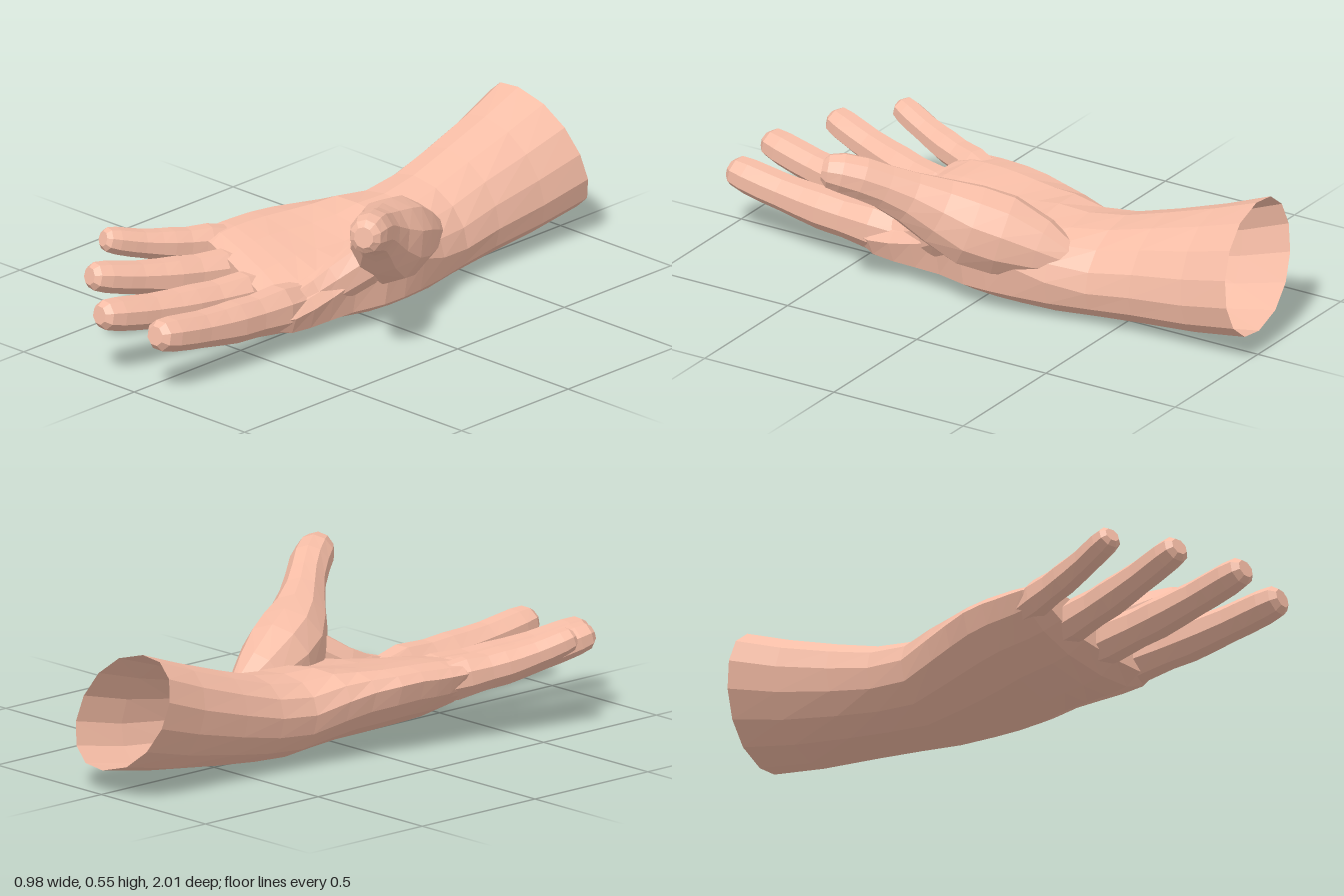
import * as THREE from 'three';

const skin = new THREE.MeshStandardMaterial({ color: 0xf6bda6, flatShading: true, side: THREE.DoubleSide });

// Skins a list of equal-length rings; the far end closes to its centre.
function loft(name, rings, capStart = false) {
  const n = rings[0].length, pos = [], idx = [];
  rings.forEach(r => r.forEach(p => pos.push(p.x, p.y, p.z)));
  for (let i = 0; i < rings.length - 1; i++) {
    for (let j = 0; j < n; j++) {
      const a = i * n + j, b = i * n + (j + 1) % n;
      idx.push(a, b, a + n, b, b + n, a + n);
    }
  }
  const cap = (row, flip) => {
    const c = new THREE.Vector3();
    rings[row].forEach(p => c.addScaledVector(p, 1 / n));
    const k = pos.length / 3;
    pos.push(c.x, c.y, c.z);
    for (let j = 0; j < n; j++) {
      const a = row * n + j, b = row * n + (j + 1) % n;
      idx.push(...(flip ? [b, a, k] : [a, b, k]));
    }
  };
  cap(rings.length - 1, false);
  if (capStart) cap(0, true);
  const g = new THREE.BufferGeometry();
  g.setAttribute('position', new THREE.Float32BufferAttribute(pos, 3));
  g.setIndex(idx);
  g.computeVertexNormals();
  const mesh = new THREE.Mesh(g, skin);
  mesh.name = name;
  return mesh;
}

// Forearm and palm ring: tilt raises the little-finger side, lift raises the ball of the thumb.
function handRing([z, cx, rx, cy, tilt, top, bottom, lift = 0, skewX = 0, skewY = 0]) {
  const ring = [];
  for (let j = 0; j < 14; j++) {
    const a = j / 14 * Math.PI * 2, c = Math.cos(a), s = Math.sin(a);
    const x = cx + rx * Math.sign(c) * Math.abs(c) ** 0.9;
    const raise = lift * Math.max(c, 0) ** 1.5 * (s < -0.01 ? 0.35 : 1);
    const y = cy - tilt * c + (s > 0 ? top : bottom) * s + raise;
    ring.push(new THREE.Vector3(x, y, z + skewX * (x - cx) + skewY * (y - cy)));
  }
  return ring;
}

// Digit from rows of [x, y, z, half width, half height], rings square to the path.
function digit(name, rows, sides = 8) {
  const pts = rows.map(r => new THREE.Vector3(r[0], r[1], r[2]));
  const up = new THREE.Vector3(0, 1, 0);
  const rings = rows.map((r, i) => {
    const t = pts[Math.min(i + 1, pts.length - 1)].clone().sub(pts[Math.max(i - 1, 0)]).normalize();
    const side = up.clone().cross(t).normalize(), rise = t.clone().cross(side);
    return Array.from({ length: sides }, (_, j) => {
      const a = (j + 0.5) / sides * Math.PI * 2;
      return pts[i].clone().addScaledVector(side, r[3] * Math.cos(a)).addScaledVector(rise, r[4] * Math.sin(a));
    });
  });
  return loft(name, rings, true);
}

// Straight finger with swollen joints: knuckle point, web point, tip point, half width.
function finger(name, base, web, tip, w) {
  const profile = [ // position from web to tip, width, height
    [0, 1.12, 1.3], [0.2, 1.04, 1.13], [0.36, 1.09, 1.14], [0.48, 1.05, 1.06], [0.64, 1.0, 0.97],
    [0.74, 1.02, 0.96], [0.88, 1.0, 0.92], [0.965, 0.88, 0.82], [1, 0.56, 0.52]];
  const rows = profile.map(([t, a, b]) => {
    const p = web.map((v, i) => v + (tip[i] - v) * t);
    p[1] -= 0.012 * Math.sin(t * Math.PI);
    return [...p, w * a, w * b];
  });
  return digit(name, [[...base, w * 0.9, w * 0.9], ...rows]);
}

export function createModel() {
  const hand = new THREE.Group();
  hand.name = 'openHand';

  // Forearm, wrist and palm with the ball of the thumb, open at the cut end
  const sections = [
    [-0.96, -0.06, 0.21, 0.28, 0.07, 0.185, 0.19, 0, 0, 0.2],
    [-0.78, -0.06, 0.195, 0.23, 0.06, 0.18, 0.178, 0, 0, 0.1],
    [-0.58, -0.06, 0.19, 0.19, 0.045, 0.165, 0.165],
    [-0.42, -0.055, 0.195, 0.16, 0.035, 0.15, 0.15],
    [-0.28, -0.045, 0.215, 0.148, 0.035, 0.14, 0.148, 0.03],
    [-0.16, -0.045, 0.245, 0.158, 0.055, 0.125, 0.148, 0.08],
    [-0.07, -0.05, 0.265, 0.162, 0.07, 0.1, 0.145, 0.12],
    [0.02, -0.065, 0.28, 0.165, 0.078, 0.085, 0.142, 0.13],
    [0.12, -0.09, 0.27, 0.168, 0.08, 0.08, 0.135, 0.1, 0.06],
    [0.2, -0.1, 0.27, 0.17, 0.075, 0.08, 0.13, 0.06, 0.14],
    [0.27, -0.105, 0.272, 0.173, 0.072, 0.075, 0.127, 0.035, 0.2],
    [0.34, -0.11, 0.272, 0.175, 0.07, 0.065, 0.115, 0.02, 0.25],
    [0.4, -0.11, 0.25, 0.175, 0.068, 0.045, 0.075, 0.02, 0.28],
  ];
  hand.add(loft('forearmAndPalm', sections.map(handRing)));

  // Fingers
  hand.add(finger('indexFinger', [0.07, 0.13, 0.22], [0.09, 0.145, 0.42], [0.08, 0.212, 0.985], 0.063));
  hand.add(finger('middleFinger', [-0.04, 0.13, 0.22], [-0.07, 0.15, 0.42], [-0.158, 0.222, 1.0], 0.06));
  hand.add(finger('ringFinger', [-0.16, 0.155, 0.17], [-0.21, 0.18, 0.37], [-0.338, 0.268, 0.86], 0.057));
  hand.add(finger('littleFinger', [-0.26, 0.195, 0.1], [-0.335, 0.227, 0.31], [-0.455, 0.312, 0.675], 0.049));

  // Thumb rising from its fleshy base
  hand.add(digit('thumb', [
    [0.07, 0.19, -0.32, 0.05, 0.06],
    [0.09, 0.22, -0.22, 0.095, 0.105],
    [0.13, 0.255, -0.1, 0.125, 0.14],
    [0.18, 0.287, 0.0, 0.125, 0.142],
    [0.235, 0.337, 0.09, 0.1, 0.117],
    [0.295, 0.39, 0.165, 0.077, 0.09],
    [0.345, 0.43, 0.225, 0.068, 0.077],
    [0.39, 0.463, 0.285, 0.068, 0.074],
    [0.425, 0.482, 0.34, 0.065, 0.068],
    [0.447, 0.488, 0.378, 0.054, 0.057],
    [0.454, 0.49, 0.394, 0.034, 0.036],
  ], 10));

  // Web of flesh between thumb and index finger
  hand.add(digit('thumbWeb', [
    [0.2, 0.27, 0.03, 0.05, 0.05],
    [0.17, 0.235, 0.1, 0.06, 0.08],
    [0.125, 0.18, 0.19, 0.048, 0.075],
    [0.105, 0.155, 0.27, 0.042, 0.065],
    [0.1, 0.145, 0.36, 0.035, 0.05],
  ]));
  return hand;
}
